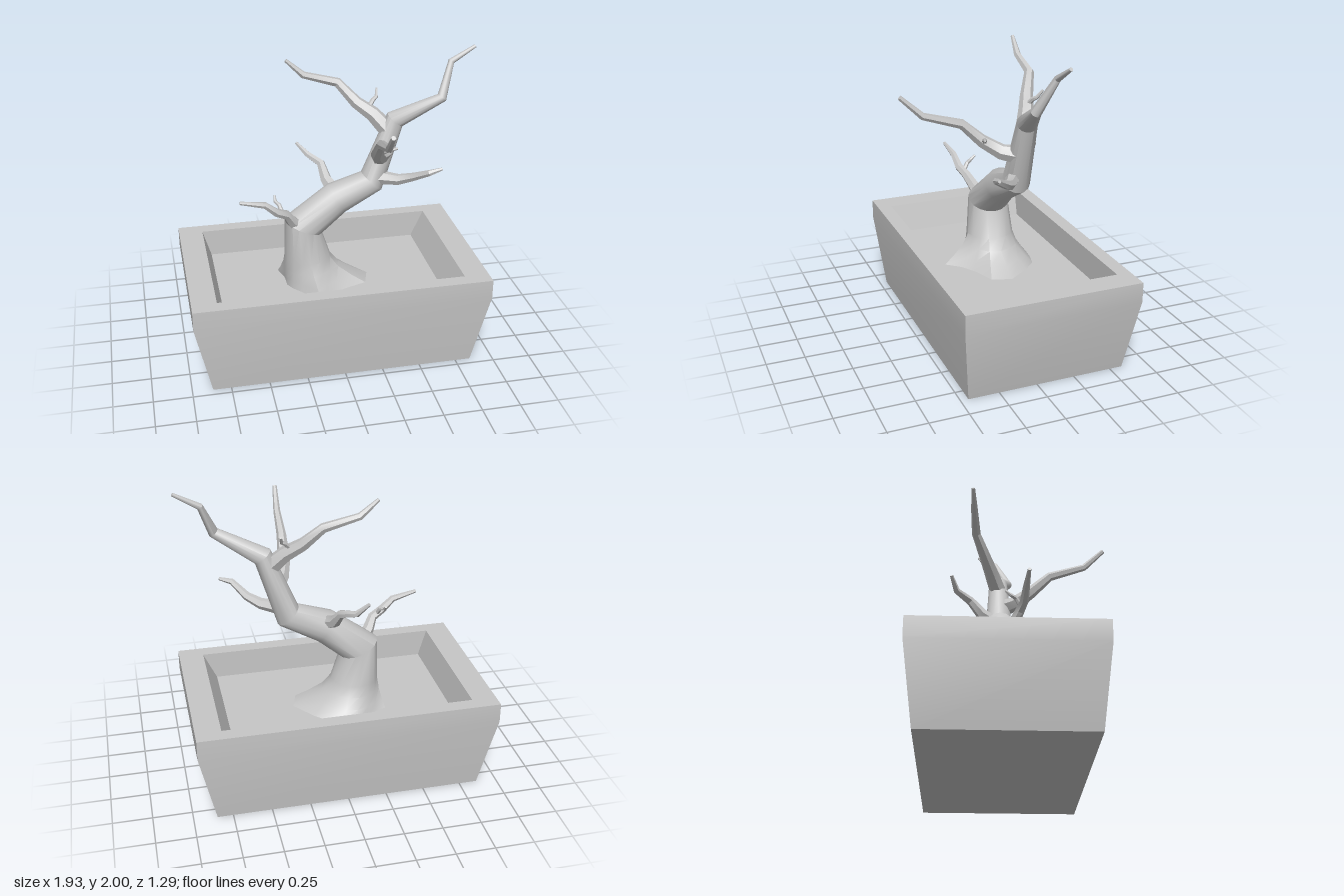
import * as THREE from 'three';
import { toCreasedNormals } from 'three/addons/utils/BufferGeometryUtils.js';

const V = (p) => new THREE.Vector3(p[0], p[1], p[2]);

// Skin a list of closed rings (counter-clockwise seen from the far end) and cap both ends.
function loft(rings, crease) {
  const n = rings[0].length, pos = [], idx = [];
  rings.forEach((r) => r.forEach((p) => pos.push(p.x, p.y, p.z)));
  for (let i = 0; i < rings.length - 1; i++) {
    for (let j = 0; j < n; j++) {
      const a = i * n + j, b = i * n + (j + 1) % n;
      idx.push(a, b, b + n, a, b + n, a + n);
    }
  }
  const last = (rings.length - 1) * n;
  for (let j = 1; j < n - 1; j++) {
    idx.push(0, j + 1, j, last, last + j, last + j + 1);
  }
  const g = new THREE.BufferGeometry();
  g.setAttribute('position', new THREE.Float32BufferAttribute(pos, 3));
  g.setIndex(idx);
  return toCreasedNormals(g, crease);
}

// Rings along a bent path; each point is [x, y, z, radius].
function sweepRings(path, sides, firstTangent) {
  const pts = path.map(V);
  const dir = (i) => pts[i + 1].clone().sub(pts[i]).normalize();
  const normal = new THREE.Vector3(1, 0, 0);
  return pts.map((p, i) => {
    let t;
    if (i === 0) t = firstTangent || dir(0);
    else if (i === pts.length - 1) t = dir(i - 1);
    else t = dir(i - 1).add(dir(i)).normalize();
    if (i === 0 && Math.abs(t.x) > 0.9) normal.set(0, 0, 1);
    normal.addScaledVector(t, -normal.dot(t)).normalize();
    const side = t.clone().cross(normal);
    return Array.from({ length: sides }, (_, j) => {
      const a = (j / sides) * Math.PI * 2;
      return p.clone()
        .addScaledVector(normal, Math.cos(a) * path[i][3])
        .addScaledVector(side, Math.sin(a) * path[i][3]);
    });
  });
}

export function createModel() {
  const model = new THREE.Group();
  const grey = new THREE.MeshStandardMaterial({ color: 0xc6c6c6 });
  grey.name = 'plainGrey';
  const add = (name, geometry, parent = model) => {
    const mesh = new THREE.Mesh(geometry, grey);
    mesh.name = name;
    parent.add(mesh);
  };

  // Planter: tapered outside, straight lip, recessed soil floor
  const rect = (y, x0, x1, z0, z1) =>
    [[x1, y, z1], [x1, y, z0], [x0, y, z0], [x0, y, z1]].map(V);
  add('planter', loft([
    rect(0, -0.867, 0.85, -0.583, 0.45),
    rect(0.49, -0.97, 0.955, -0.645, 0.505),
    rect(0.62, -0.97, 0.955, -0.645, 0.505),
    rect(0.62, -0.81, 0.793, -0.553, 0.412),
    rect(0.435, -0.755, 0.707, -0.55, 0.41),
  ], 0.5));

  // Trunk: spreading roots at the soil, then a bent tapering stem
  const rootOutline = [[0.27, -0.08], [0.16, -0.23], [0.08, -0.31], [-0.02, -0.335],
    [-0.11, -0.345], [-0.2, -0.3], [-0.26, -0.265], [-0.33, -0.24],
    [-0.3, -0.13], [-0.3, -0.03], [-0.27, 0.03], [-0.22, 0.09],
    [-0.11, 0.255], [-0.03, 0.165], [0.06, 0.11], [0.23, 0.05]];
  const stem = sweepRings([
    [-0.15, 0.62, -0.085, 0.155],
    [-0.175, 0.845, -0.085, 0.134],
    [0.05, 1.02, -0.09, 0.11],
    [0.285, 1.125, -0.09, 0.09],
    [0.435, 1.54, -0.093, 0.065],
    [0.72, 1.695, -0.02, 0.034],
    [0.8, 1.9, -0.11, 0.021],
    [0.957, 1.99, -0.115, 0.011],
  ], rootOutline.length, new THREE.Vector3(0, 1, 0));
  const flare = (y, mix) => rootOutline.map(([x, z], j) =>
    stem[0][j].clone().lerp(new THREE.Vector3(x, 0, z), mix).setY(y));
  add('trunk', loft([flare(0.43, 1), flare(0.485, 0.6), flare(0.55, 0.22), ...stem], 0.55));

  // Side branches and their twigs: bare, faceted, kinked
  const branches = {
    rightBranch: [[-0.2, 0.85, -0.05, 0.055], [-0.265, 0.92, -0.01, 0.038], [-0.3, 0.985, 0.025, 0.031],
      [-0.37, 1.02, 0.05, 0.028], [-0.445, 1.085, 0.06, 0.022], [-0.605, 1.12, 0.07, 0.011]],
    rightTwig: [[-0.33, 1.0, 0.03, 0.015], [-0.345, 1.05, 0, 0.014], [-0.365, 1.06, -0.03, 0.012],
      [-0.365, 1.09, -0.065, 0.007]],
    backBranch: [[0.05, 1.05, -0.11, 0.055], [0.005, 1.105, -0.21, 0.038], [-0.015, 1.19, -0.285, 0.028],
      [-0.09, 1.225, -0.375, 0.021], [-0.16, 1.3, -0.41, 0.011]],
    leftBranch: [[0.31, 1.16, -0.06, 0.05], [0.44, 1.165, 0.02, 0.036], [0.52, 1.2, 0.075, 0.028],
      [0.6, 1.265, 0.175, 0.02], [0.68, 1.29, 0.185, 0.01]],
    frontBranch: [[0.365, 1.32, -0.08, 0.06], [0.305, 1.335, 0.02, 0.05], [0.265, 1.405, 0.13, 0.041],
      [0.255, 1.525, 0.26, 0.031], [0.24, 1.595, 0.5, 0.023], [0.228, 1.72, 0.635, 0.015]],
    frontTwig: [[0.28, 1.4, 0.12, 0.016], [0.33, 1.43, 0.14, 0.015], [0.39, 1.445, 0.16, 0.007]],
    upperBranch: [[0.4, 1.46, -0.09, 0.06], [0.3, 1.57, -0.145, 0.05], [0.2, 1.64, -0.19, 0.041],
      [0.09, 1.76, -0.255, 0.031], [-0.13, 1.82, -0.27, 0.023], [-0.24, 1.92, -0.28, 0.012]],
    upperTwig: [[0.27, 1.6, -0.16, 0.016], [0.31, 1.65, -0.185, 0.015], [0.335, 1.665, -0.2, 0.012],
      [0.345, 1.71, -0.235, 0.007]],
  };
  const crown = new THREE.Group();
  crown.name = 'branches';
  model.add(crown);
  for (const [name, path] of Object.entries(branches)) {
    add(name, loft(sweepRings(path, 6), 0.6), crown);
  }
  return model;
}
